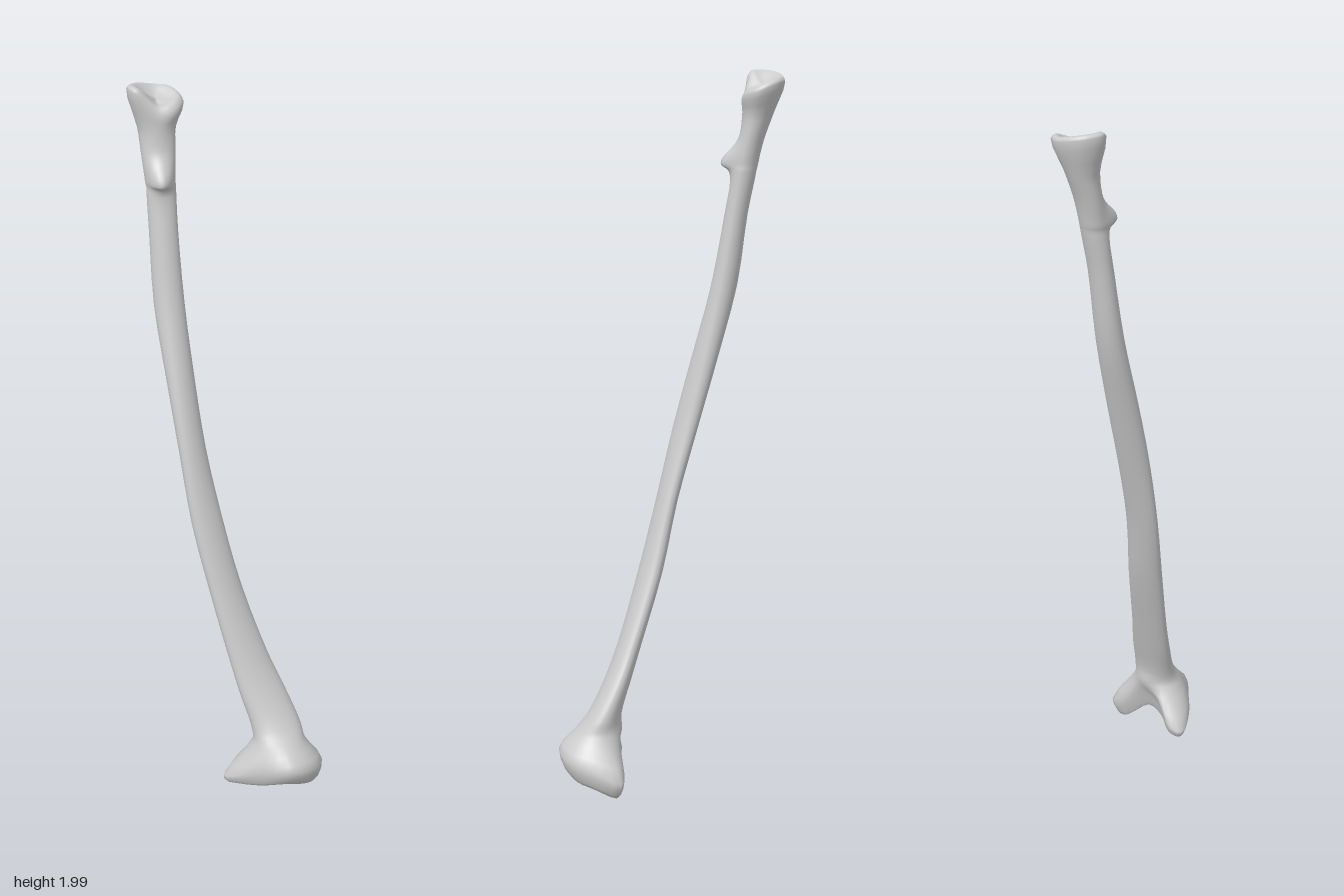
import * as THREE from 'three';
import { mergeVertices } from 'three/addons/utils/BufferGeometryUtils.js';

const COLS = 12, AROUND = 36, STEPS = 3;
const V = (x, y, z) => new THREE.Vector3(x, y, z);

// Elliptical ring from its extents; skew shears it diagonally, bump swells the front
function section([y, x0, x1, z0, z1, skew = 0, bump = 0]) {
  return Array.from({ length: COLS }, (_, k) => {
    const a = (k / COLS) * Math.PI * 2;
    return V(
      (x0 + x1) / 2 + ((x1 - x0) / 2) * Math.cos(a),
      y,
      (z0 + z1) / 2 + ((z1 - z0) / 2) * Math.sin(a - skew) + bump * Math.max(0, Math.sin(a)) ** 3
    );
  });
}

const ring = (points) => points.map((p) => V(...p));

// Ring drawn in towards a centre point, with an optional lift
const inset = (r, centre, t, lift = 0) => r.map((p) => p.clone().lerp(centre, t).add(V(0, lift, 0)));

// Smooth closed skin through rings, listed from the bottom up
function loft(rings) {
  const dense = rings.map((r) => {
    const c = new THREE.CatmullRomCurve3(r, true);
    return Array.from({ length: AROUND }, (_, i) => c.getPoint(i / AROUND));
  });
  const rows = (rings.length - 1) * STEPS;
  const columns = Array.from({ length: AROUND }, (_, j) => new THREE.CatmullRomCurve3(dense.map((r) => r[j])));
  const pos = [], idx = [];
  for (let i = 0; i <= rows; i++) {
    for (let j = 0; j < AROUND; j++) {
      pos.push(...columns[j].getPoint(i / rows).toArray());
      if (i === rows) continue;
      const a = i * AROUND + j, b = i * AROUND + ((j + 1) % AROUND);
      idx.push(a, a + AROUND, b, b, a + AROUND, b + AROUND);
    }
  }
  let g = new THREE.BufferGeometry();
  g.setAttribute('position', new THREE.Float32BufferAttribute(pos, 3));
  g.setIndex(idx);
  g = mergeVertices(g, 1e-5);
  g.computeVertexNormals();
  return g;
}

export function createModel() {
  const group = new THREE.Group();
  group.name = 'longBone';

  // Lower joint: hooked lobes around a hollow facet
  const lowerRim = ring([
    [0.232, 0.03, 0.17], [0.213, 0.04, 0.22], [0.178, 0.055, 0.255], [0.13, 0.065, 0.265],
    [0.06, 0.05, 0.24], [0, 0.04, 0.205], [-0.03, 0.03, 0.17], [0, 0.037, 0.15],
    [0.06, 0.06, 0.16], [0.12, 0.07, 0.15], [0.185, 0.012, 0.11], [0.22, 0.003, 0.108],
  ]);
  const lowerWidest = ring([
    [0.245, 0.09, 0.18], [0.228, 0.1, 0.235], [0.185, 0.11, 0.275], [0.135, 0.115, 0.29],
    [0.06, 0.1, 0.255], [0, 0.075, 0.22], [-0.04, 0.05, 0.17], [-0.01, 0.07, 0.14],
    [0.055, 0.11, 0.148], [0.12, 0.12, 0.13], [0.18, 0.07, 0.095], [0.235, 0.05, 0.09],
  ]);
  const lowerCentre = V(0.11, 0.085, 0.195);

  // Shaft and small tuberosity: y, x range, z range, skew, bump
  const shaft = [
    [0.165, 0.042, 0.195, 0.115, 0.25],
    [0.21, 0.04, 0.183, 0.117, 0.215, 0.1],
    [0.3, 0.012, 0.145, 0.095, 0.175, 0.3],
    [0.4, -0.015, 0.1, 0.07, 0.143, 0.4],
    [0.6, -0.065, 0.03, 0.02, 0.095, 0.45],
    [0.8, -0.11, -0.02, -0.015, 0.052, 0.45],
    [1.0, -0.138, -0.06, -0.065, 0.01, 0.4],
    [1.2, -0.165, -0.085, -0.117, -0.04, 0.25],
    [1.4, -0.19, -0.105, -0.165, -0.092],
    [1.6, -0.197, -0.117, -0.192, -0.128],
    [1.7, -0.2, -0.119, -0.212, -0.143],
    [1.722, -0.2, -0.119, -0.216, -0.147, 0, 0.012],
    [1.735, -0.203, -0.12, -0.219, -0.15, 0, 0.034],
    [1.755, -0.205, -0.119, -0.223, -0.154, 0, 0.034],
    [1.79, -0.209, -0.118, -0.231, -0.162, 0, 0.01],
    [1.82, -0.212, -0.117, -0.24, -0.168],
    [1.88, -0.219, -0.113, -0.262, -0.175],
  ].map(section);

  // Upper joint: flared saddle-shaped cup
  const upperRim = ring([
    [-0.09, 1.94, -0.23], [-0.105, 1.93, -0.195], [-0.13, 1.92, -0.178], [-0.165, 1.918, -0.176],
    [-0.2, 1.95, -0.178], [-0.23, 1.982, -0.183], [-0.245, 1.985, -0.21], [-0.238, 1.982, -0.25],
    [-0.21, 1.975, -0.278], [-0.165, 1.965, -0.293], [-0.125, 1.963, -0.285], [-0.1, 1.953, -0.26],
  ]);
  const upperCentre = V(-0.165, 1.95, -0.235);

  const bone = new THREE.Mesh(
    loft([
      inset(lowerRim, lowerCentre, 1),
      inset(lowerRim, lowerCentre, 0.6, 0.005),
      inset(lowerRim, lowerCentre, 0.15),
      lowerRim,
      lowerWidest,
      ...shaft,
      upperRim,
      inset(upperRim, upperCentre, 0.2, 0.016),
      inset(upperRim, upperCentre, 0.6, 0.005),
      inset(upperRim, upperCentre, 1),
    ]),
    new THREE.MeshStandardMaterial({ color: 0xcccccc })
  );
  bone.name = 'boneShaftWithJointEnds';
  group.add(bone);
  return group;
}
